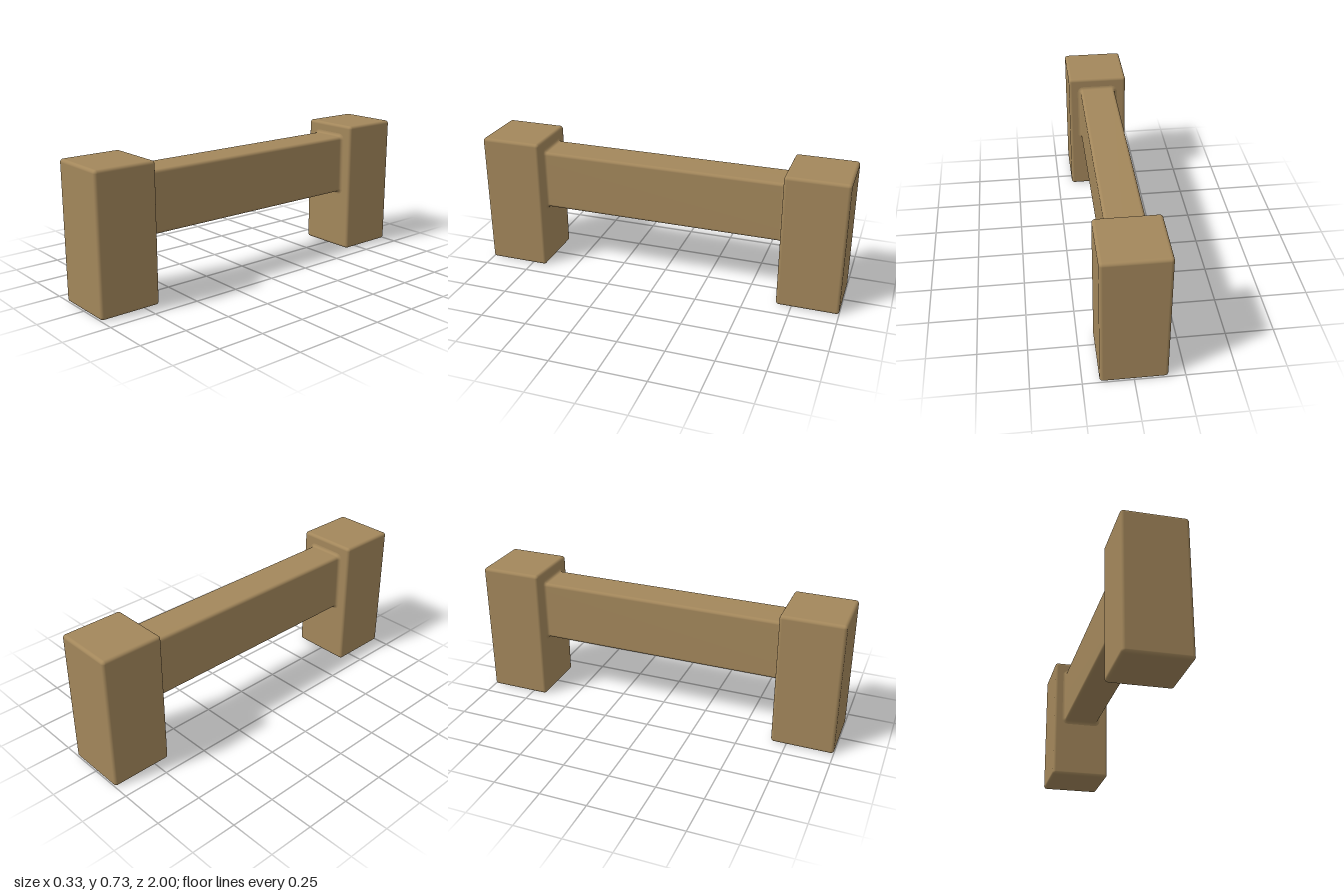
import * as THREE from 'three';
import { RoundedBoxGeometry } from 'three/addons/geometries/RoundedBoxGeometry.js';

const POST = { w: 0.333, h: 0.733, d: 0.333 };
const BEVEL = 0.017;
const RAIL = { halfW: 0.1, halfH: 0.163, y: 0.503 };

// Rounded-rectangle cross-section, counter-clockwise, grown outward by "grow"
function section(grow, z) {
  const points = [];
  const steps = 4;
  [[1, 1], [-1, 1], [-1, -1], [1, -1]].forEach(([sx, sy], corner) => {
    for (let i = 0; i <= steps; i++) {
      const a = (corner + i / steps) * Math.PI / 2;
      points.push([
        sx * (RAIL.halfW - BEVEL) + (BEVEL + grow) * Math.cos(a),
        sy * (RAIL.halfH - BEVEL) + (BEVEL + grow) * Math.sin(a),
        z,
      ]);
    }
  });
  return points;
}

// Rail lofted along z, with a concave fillet where it meets each post
function railGeometry() {
  const face = 1 - POST.d;
  const half = [];
  for (let i = 0; i <= 4; i++) {
    const a = i / 4 * Math.PI / 2;
    half.push([BEVEL * (1 - Math.cos(a)), face - BEVEL + BEVEL * Math.sin(a)]);
  }
  const stations = [...half.map(([g, z]) => [g, -z]).reverse(), ...half];
  const rings = stations.map(([g, z]) => section(g, z));
  const n = rings[0].length;
  const index = [];
  for (let j = 0; j < rings.length - 1; j++) {
    for (let i = 0; i < n; i++) {
      const a = j * n + i;
      const b = j * n + (i + 1) % n;
      index.push(a, b, b + n, a, b + n, a + n);
    }
  }
  const geometry = new THREE.BufferGeometry();
  geometry.setAttribute('position', new THREE.Float32BufferAttribute(rings.flat(2), 3));
  geometry.setIndex(index);
  geometry.computeVertexNormals();
  return geometry;
}

export function createModel() {
  const group = new THREE.Group();
  group.name = 'fenceRail';
  const wood = new THREE.MeshStandardMaterial({ color: 0xa3875b });

  // Two upright posts
  const postGeometry = new RoundedBoxGeometry(POST.w, POST.h, POST.d, 4, BEVEL);
  for (const side of [1, -1]) {
    const post = new THREE.Mesh(postGeometry, wood);
    post.name = side > 0 ? 'frontPost' : 'backPost';
    post.position.set(0, POST.h / 2, side * (1 - POST.d / 2));
    group.add(post);
  }

  // Connecting rail
  const rail = new THREE.Mesh(railGeometry(), wood);
  rail.name = 'rail';
  rail.position.y = RAIL.y;
  group.add(rail);

  return group;
}
